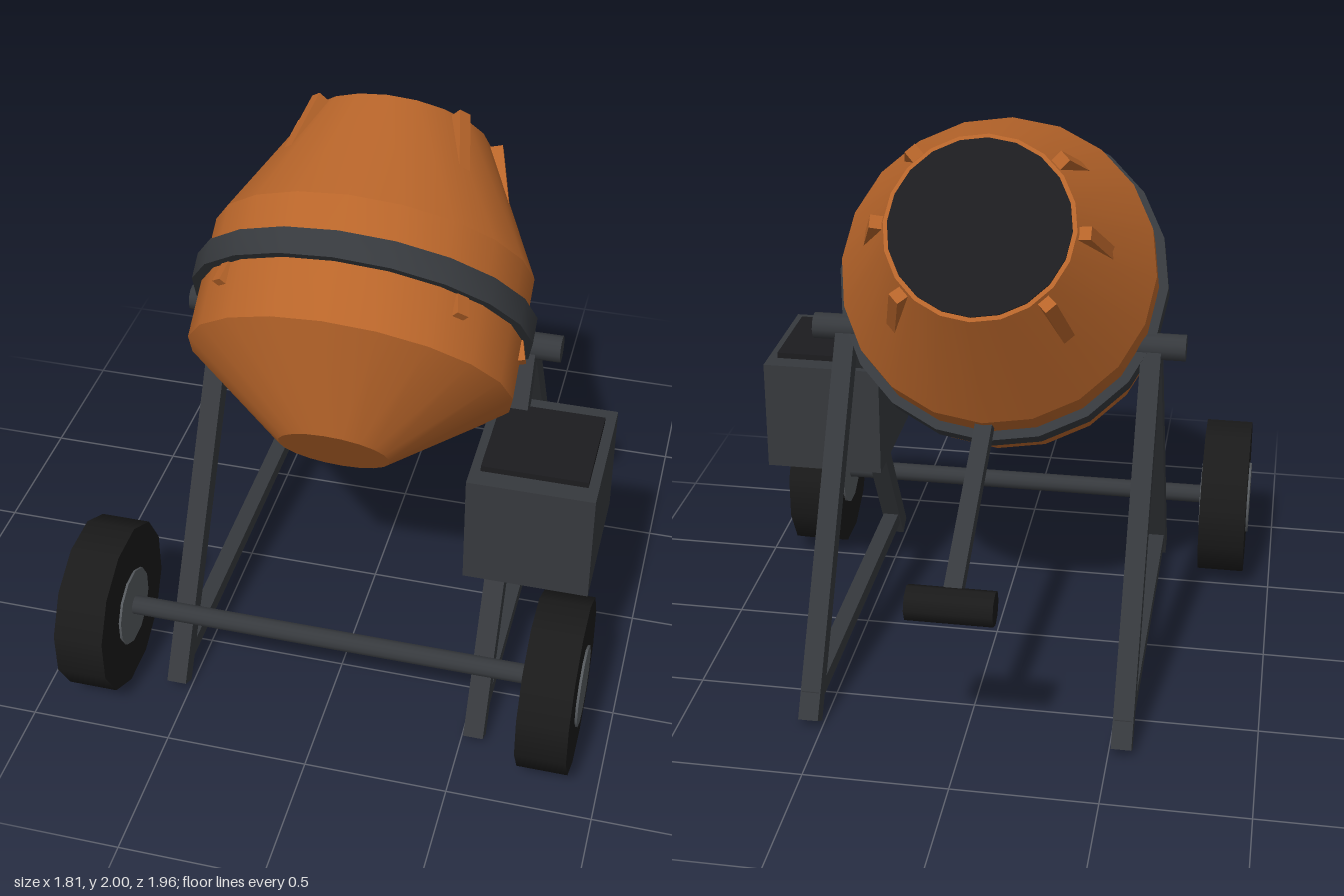
import * as THREE from 'three';
import { toCreasedNormals } from 'three/addons/utils/BufferGeometryUtils.js';

const mat = (color) => new THREE.MeshStandardMaterial({ color });
const orange = mat(0xb8652a), steel = mat(0x36393d), rubber = mat(0x1a1a1a);
const dark = mat(0x1c1c1f), hubGrey = mat(0x55595d);

function add(parent, name, geometry, material, x = 0, y = 0, z = 0) {
  const mesh = new THREE.Mesh(geometry, material);
  mesh.name = name;
  mesh.position.set(x, y, z);
  parent.add(mesh);
  return mesh;
}

// Solid of revolution from [radius, height] pairs, sharp at the rings
function lathe(points) {
  const profile = points.map(([r, y]) => new THREE.Vector2(r, y));
  return toCreasedNormals(new THREE.LatheGeometry(profile, 20), 0.4);
}

// Cylinder lying along x; turn rotates its sides about that axis
function rod(radius, length, sides, turn = 0) {
  return new THREE.CylinderGeometry(radius, radius, length, sides)
    .rotateY(turn).rotateZ(Math.PI / 2);
}

// Square bar in a plane of constant x, between two [y, z] points
function bar(parent, name, x, [y0, z0], [y1, z1], width, depth) {
  const length = Math.hypot(y1 - y0, z1 - z0);
  const mesh = add(parent, name, new THREE.BoxGeometry(width, length, depth), steel,
    x, (y0 + y1) / 2, (z0 + z1) / 2);
  mesh.rotation.x = Math.atan2(z1 - z0, y1 - y0);
  return mesh;
}

function createDrum() {
  // Local origin is the mouth centre, local y runs out of the mouth
  const drum = new THREE.Group();
  drum.name = 'drum';
  drum.position.set(0, 1.745, -0.358);
  drum.rotation.x = -0.925;

  add(drum, 'drumShell', lathe([
    [0, -1.155], [0.19, -1.155], [0.556, -0.885], [0.554, -0.46], [0.32, 0], [0, 0],
  ]), orange);
  add(drum, 'drumMouth', new THREE.CylinderGeometry(0.305, 0.305, 0.02, 20), dark, 0, -0.004, 0);
  add(drum, 'drumBand', lathe([
    [0.545, -0.045], [0.588, -0.045], [0.588, 0.045], [0.545, 0.045], [0.545, -0.045],
  ]), steel, 0, -0.64, 0);

  // Mixing blades whose ends poke through the shell
  for (const side of [-1, 1]) {
    for (const angle of [45, 90, 135]) {
      const spoke = new THREE.Group();
      spoke.name = 'mixingBlade';
      spoke.rotation.y = side * THREE.MathUtils.degToRad(angle);
      const blade = add(spoke, 'blade', new THREE.BoxGeometry(0.045, 0.78, 0.1), orange, 0, -0.39, 0.422);
      blade.rotation.x = -0.273;
      drum.add(spoke);
    }
  }
  return drum;
}

export function createModel() {
  const model = new THREE.Group();
  model.name = 'cementMixer';
  model.add(createDrum());

  // A-frames, pivots and wheels on both sides
  const pivot = [1.205, 0.02];
  for (const side of [-1, 1]) {
    const x = side * 0.545;
    bar(model, 'frontLeg', x, pivot, [0.02, 0.74], 0.07, 0.07);
    bar(model, 'rearLeg', x, pivot, [0.02, -0.71], 0.07, 0.07);
    bar(model, 'baseRail', x, [0.095, 0.7], [0.095, -0.69], 0.06, 0.056);
    add(model, 'pivotPin', rod(0.047, 0.17, 12), steel, side * 0.58, ...pivot);
    add(model, 'tyre', rod(0.304, 0.175, 12, Math.PI / 12), rubber, side * 0.81, 0.297, 0.685);
    add(model, 'wheelHub', rod(0.14, 0.192, 12, Math.PI / 12), hubGrey, side * 0.81, 0.297, 0.685);
  }
  add(model, 'axle', rod(0.035, 1.46, 12), steel, 0, 0.3, 0.68);

  // Motor housing on the left frame
  add(model, 'motorHousing', new THREE.BoxGeometry(0.43, 0.41, 0.5), steel, 0.665, 0.807, 0.32);
  add(model, 'motorLid', new THREE.BoxGeometry(0.36, 0.04, 0.36), dark, 0.665, 1.013, 0.32);

  // Tipping handle at the back
  bar(model, 'handleBar', 0, [1.03, -0.19], [0.66, -0.92], 0.06, 0.056);
  add(model, 'handleGrip', rod(0.06, 0.29, 8), rubber, 0, 0.66, -0.924);
  return model;
}
